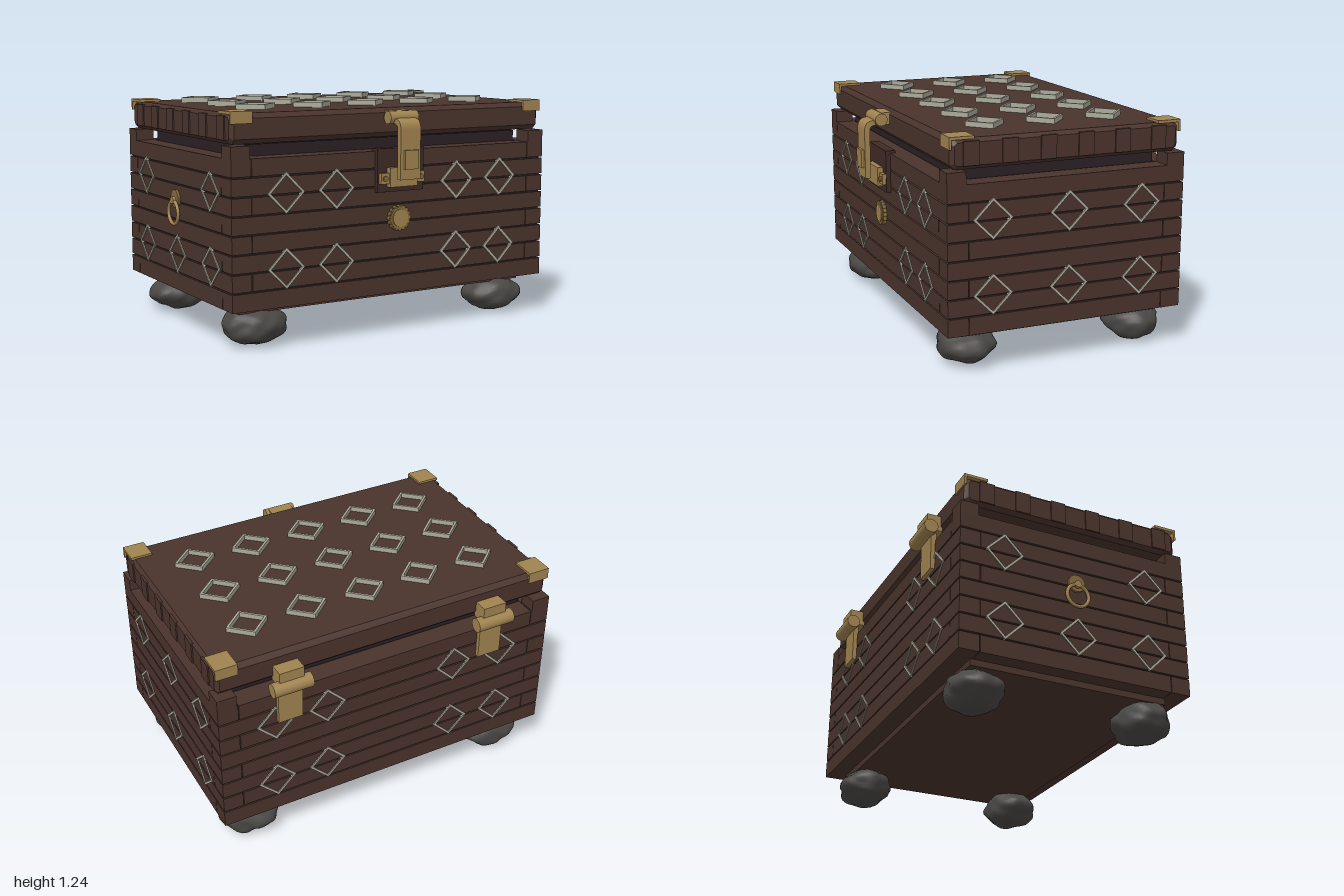
import * as THREE from 'three';
import { mergeVertices } from 'three/addons/utils/BufferGeometryUtils.js';

const mat = (name, color, extra = {}) => {
  const m = new THREE.MeshStandardMaterial({ color, ...extra });
  m.name = name;
  return m;
};

export function createModel() {
  const wood = mat('brown wood', 0x4a332c);
  const darkWood = mat('dark wood', 0x3f2a24);
  const seam = mat('seam shadow wood', 0x2a2022);
  const brass = mat('brass', 0xa18450);
  const darkBrass = mat('dark brass', 0x856b3c);
  const inlay = mat('pale inlay', 0xaaaa9a);
  const stone = mat('grey stone', 0x4a4845);

  const root = new THREE.Group();
  root.name = 'chest';
  const add = (name, geo, m, parent = root) => {
    const mesh = new THREE.Mesh(geo, m);
    mesh.name = name;
    parent.add(mesh);
    return mesh;
  };
  // Box given by its lower and upper limits on each axis
  const box = (name, m, x0, x1, y0, y1, z0, z1, parent = root) => {
    const b = add(name, new THREE.BoxGeometry(x1 - x0, y1 - y0, z1 - z0), m, parent);
    b.position.set((x0 + x1) / 2, (y0 + y1) / 2, (z0 + z1) / 2);
    return b;
  };
  const rod = (name, m, r, len, axis, x, y, z, parent = root, sides = 24) => {
    const g = new THREE.CylinderGeometry(r, r, len, sides);
    if (axis === 'x') g.rotateZ(Math.PI / 2);
    if (axis === 'z') g.rotateX(Math.PI / 2);
    const c = add(name, g, m, parent);
    c.position.set(x, y, z);
    return c;
  };

  const X0 = -0.97, X1 = 0.995, Z0 = -0.68, Z1 = 0.63;
  const CX = (X0 + X1) / 2;

  // Body: dark core showing in the seams, with interlocked plank rows around it
  const body = new THREE.Group();
  body.name = 'body';
  root.add(body);
  box('core', seam, X0 + 0.012, X1 - 0.012, 0.225, 0.982, Z0 + 0.012, Z1 - 0.012, body);
  box('innerRim', seam, -0.85, 0.875, 0.9, 1.045, -0.56, 0.515, body);
  box('baseSlab', wood, -0.885, 0.91, 0.185, 0.235, -0.58, 0.53, body);
  const rows = 8, t = 0.11, g = 0.004, rowH = (0.99 - 0.22) / rows;
  for (let i = 0; i < rows; i++) {
    const y0 = 0.22 + i * rowH + (i ? g : 0), y1 = 0.22 + (i + 1) * rowH - g;
    const frontLong = i % 2 === 0;
    const inX = frontLong ? 0 : t + g, inZ = frontLong ? t + g : 0;
    for (const [za, zb] of [[Z0, Z0 + t], [Z1 - t, Z1]])
      box('longPlank', wood, X0 + inX, X1 - inX, y0, y1, za, zb, body);
    for (const [xa, xb] of [[X0, X0 + t], [X1 - t, X1]])
      box('sidePlank', wood, xa, xb, y0, y1, Z0 + inZ, Z1 - inZ, body);
  }
  for (const xa of [X0, X1 - t + 0.005])
    for (const za of [Z0, Z1 - t + 0.01])
      box('cornerPost', wood, xa, xa + t - 0.005, 0.97, 1.05, za, za + t - 0.01, body);

  // Lid: chamfered slab with straps on its ends
  const lid = new THREE.Group();
  lid.name = 'lid';
  root.add(lid);
  const c = 0.025, lz0 = -0.65, lz1 = 0.605, ly0 = 1.055, ly1 = 1.208;
  const profile = new THREE.Shape([
    [lz0 + c, ly0], [lz1 - c, ly0], [lz1, ly0 + c], [lz1, ly1 - c],
    [lz1 - c, ly1], [lz0 + c, ly1], [lz0, ly1 - c], [lz0, ly0 + c],
  ].map(([z, y]) => new THREE.Vector2(-z, y)));
  const slab = new THREE.ExtrudeGeometry(profile, { depth: 1.9, bevelEnabled: true, bevelThickness: 0.02, bevelSize: 0.02, bevelOffset: -0.02, bevelSegments: 1 });
  slab.translate(0, 0, -0.95).rotateY(Math.PI / 2);
  add('lidSlab', slab, wood, lid).position.x = CX;
  for (let i = 0; i < 6; i++) {
    const z = 0.5 - i * 0.206;
    for (const s of [-1, 1]) {
      const x = CX + s * 0.967;
      box('endStrap', wood, x - 0.01, x + 0.01, 1.075, 1.195, z - 0.042, z + 0.042, lid);
    }
  }
  // Angled brass corners
  for (const [xa, xb] of [[-0.963, -0.84], [0.865, 0.985]])
    for (const s of [-1, 1]) {
      const zo = s > 0 ? 0.612 : -0.657, zi = zo - s * 0.13;
      box('cornerTop', brass, xa, xb, 1.205, 1.22, Math.min(zo, zi), Math.max(zo, zi), lid);
      box('cornerFlange', brass, xa, xb, 1.158, 1.22, Math.min(zo, zo - s * 0.012), Math.max(zo, zo - s * 0.012), lid);
    }

  // Diamond inlay frames
  const diamond = (a, b, depth) => {
    const pts = k => [[a * k, 0], [0, b * k], [-a * k, 0], [0, -b * k]].map(p => new THREE.Vector2(...p));
    const s = new THREE.Shape(pts(1));
    s.holes.push(new THREE.Path(pts(0.84)));
    return new THREE.ExtrudeGeometry(s, { depth, bevelEnabled: false });
  };
  const wallFrame = diamond(0.106, 0.106, 0.014);
  const lidFrame = diamond(0.115, 0.105, 0.03);
  for (const y of [0.42, 0.805]) {
    for (const x of [-0.665, -0.37, 0.39, 0.685]) {
      add('frontDiamond', wallFrame, inlay).position.set(x, y, Z1 - 0.008);
      const back = add('backDiamond', wallFrame, inlay);
      back.position.set(x, y, Z0 + 0.008);
      back.rotation.y = Math.PI;
    }
    for (const z of [0.39, -0.025, -0.435])
      for (const s of [-1, 1]) {
        if (s < 0 && y > 0.5 && z === -0.025) continue; // space for the ring handle
        const d = add('sideDiamond', wallFrame, inlay);
        d.position.set(s > 0 ? X1 - 0.008 : X0 + 0.008, y, z);
        d.rotation.y = s * Math.PI / 2;
      }
  }
  for (const x of [-0.665, -0.325, 0.01, 0.35, 0.685])
    for (const z of [-0.37, -0.03, 0.305]) {
      const d = add('lidDiamond', lidFrame, inlay, lid);
      d.position.set(x, 1.205, z);
      d.rotation.x = -Math.PI / 2;
    }

  // Front latch: backing plate, hasp strap on a barrel, and staple
  const latch = new THREE.Group();
  latch.name = 'latch';
  root.add(latch);
  box('latchPlate', darkWood, -0.135, 0.155, 0.77, 1.0, 0.6, 0.655, latch);
  rod('latchBarrel', brass, 0.034, 0.175, 'x', 0.012, 1.16, 0.657, latch);
  box('latchMount', brass, -0.055, 0.08, 1.13, 1.195, 0.59, 0.65, latch);
  const strap = new THREE.Shape();
  strap.moveTo(-0.66, 1.165);
  strap.lineTo(-0.70, 1.155);
  strap.quadraticCurveTo(-0.745, 1.15, -0.745, 1.1);
  strap.lineTo(-0.745, 0.84);
  strap.lineTo(-0.715, 0.84);
  strap.lineTo(-0.715, 1.1);
  strap.quadraticCurveTo(-0.715, 1.125, -0.69, 1.128);
  strap.lineTo(-0.66, 1.135);
  const strapGeo = new THREE.ExtrudeGeometry(strap, { depth: 0.125, bevelEnabled: false });
  strapGeo.translate(0, 0, -0.0625).rotateY(Math.PI / 2);
  add('haspStrap', strapGeo, brass, latch).position.x = 0.011;
  box('haspButton', brass, -0.032, 0.052, 0.895, 0.995, 0.74, 0.76, latch);
  box('stapleBar', brass, -0.125, 0.15, 0.815, 0.872, 0.65, 0.675, latch);
  box('stapleCentre', brass, -0.075, 0.098, 0.797, 0.9, 0.65, 0.685, latch);
  for (const x of [-0.1, 0.125]) rod('stapleRivet', darkBrass, 0.015, 0.012, 'z', x, 0.843, 0.678, latch, 12);

  // Round lock boss with a notched rim
  rod('bossRim', darkBrass, 0.06, 0.024, 'z', 0.012, 0.625, 0.64);
  rod('bossFace', brass, 0.048, 0.03, 'z', 0.012, 0.625, 0.642);
  for (let i = 0; i < 16; i++) {
    const a = i * Math.PI / 8;
    rod('bossBead', darkBrass, 0.012, 0.02, 'z', 0.012 + 0.058 * Math.cos(a), 0.625 + 0.058 * Math.sin(a), 0.64, root, 8);
  }

  // Back hinges
  for (const x of [-0.58, 0.61]) {
    const hinge = new THREE.Group();
    hinge.name = 'hinge';
    root.add(hinge);
    rod('hingeBarrel', brass, 0.039, 0.216, 'x', x, 1.045, -0.72, hinge);
    box('hingeUpperLeaf', brass, x - 0.068, x + 0.068, 1.05, 1.14, -0.728, -0.64, hinge);
    box('hingeLowerLeaf', brass, x - 0.068, x + 0.068, 0.815, 1.03, -0.704, -0.675, hinge);
  }

  // Ring handle on the right side
  const ring = new THREE.TorusGeometry(0.062, 0.0095, 10, 32);
  ring.rotateY(Math.PI / 2);
  add('ringHandle', ring, brass).position.set(-0.99, 0.645, -0.03);
  rod('ringMount', darkBrass, 0.048, 0.018, 'x', -0.974, 0.72, -0.03);
  rod('ringPin', brass, 0.02, 0.03, 'x', -0.984, 0.71, -0.03);

  // Lumpy stone feet
  const rock = seed => {
    const ico = new THREE.IcosahedronGeometry(1, 6);
    ico.deleteAttribute('normal');
    ico.deleteAttribute('uv');
    const geo = mergeVertices(ico, 1e-4), p = geo.attributes.position, v = new THREE.Vector3();
    for (let i = 0; i < p.count; i++) {
      v.fromBufferAttribute(p, i);
      const n = Math.sin(4 * v.x + seed) * Math.sin(5 * v.y + 2 * seed) * 0.06
        + Math.sin(8 * v.z + 3 * seed + 3 * v.x) * 0.03 + Math.sin(11 * v.x - 7 * v.y + seed) * 0.02;
      v.multiplyScalar(0.98 + n);
      p.setXYZ(i, v.x * 0.176, v.y * 0.104, v.z * 0.149);
    }
    geo.computeVertexNormals();
    return geo;
  };
  [[-0.757, 0.455], [0.782, 0.455], [-0.757, -0.503], [0.782, -0.503]].forEach(([x, z], i) =>
    add('stoneFoot', rock(i * 1.7 + 0.6), stone).position.set(x, 0.108, z));

  return root;
}
